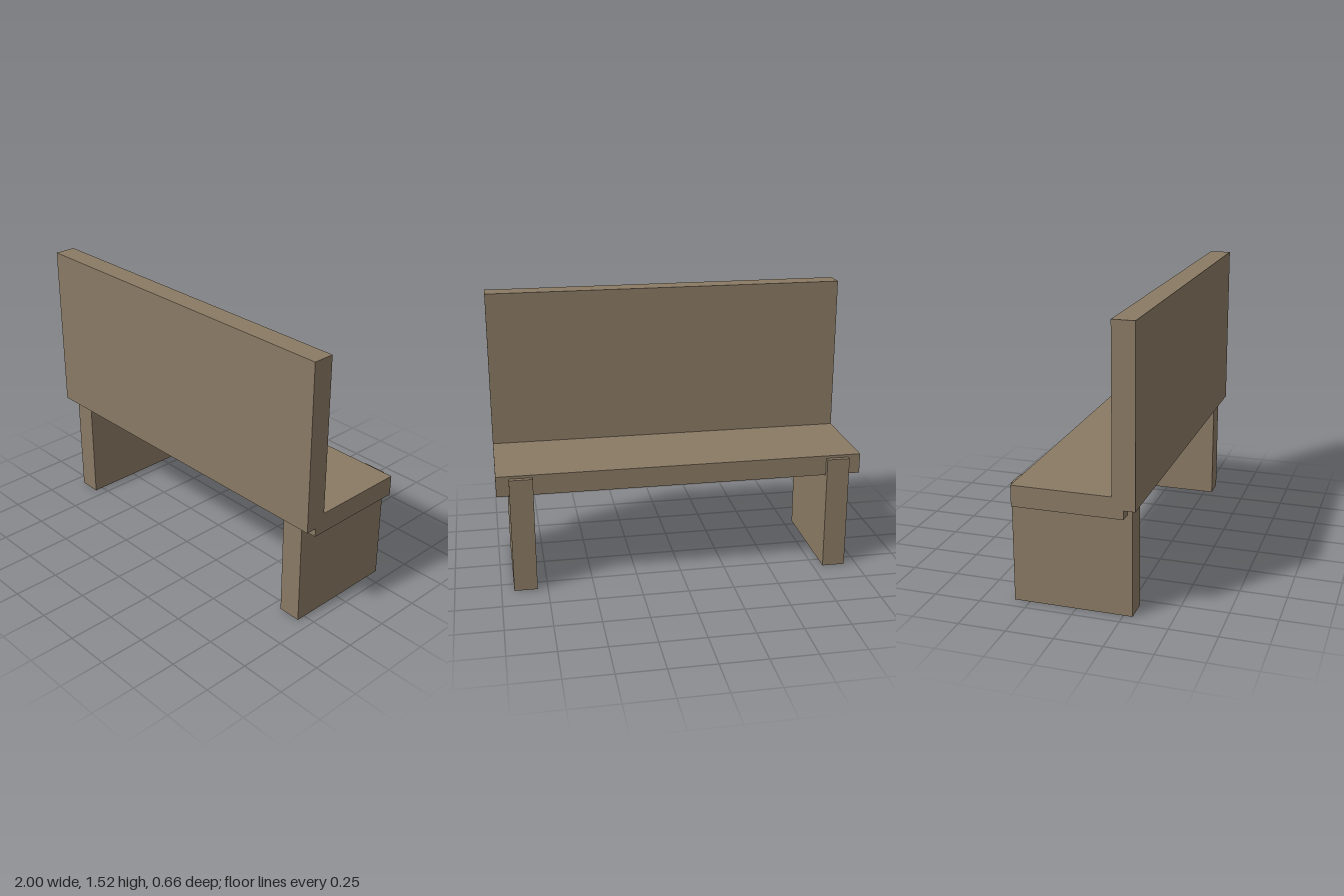
import * as THREE from 'three';

export function createModel() {
  const group = new THREE.Group();
  const wood = new THREE.MeshStandardMaterial({ color: 0x8a7a64 });
  wood.name = 'brown wood';

  // Box given by its extents on each axis
  function slab(name, [x0, x1], [y0, y1], [z0, z1]) {
    const mesh = new THREE.Mesh(new THREE.BoxGeometry(x1 - x0, y1 - y0, z1 - z0), wood);
    mesh.position.set((x0 + x1) / 2, (y0 + y1) / 2, (z0 + z1) / 2);
    mesh.name = name;
    group.add(mesh);
  }

  // Seat board, with the upright board overlapping its +z edge
  slab('seat', [-1, 1], [0.545, 0.657], [-0.307, 0.273]);
  slab('backrest', [-1, 1], [0.592, 1.52], [0.215, 0.332]);

  // Panel legs, rising into the seat and jutting out past its -z edge
  slab('leftLeg', [0.806, 0.932], [0, 0.642], [-0.332, 0.298]);
  slab('rightLeg', [-0.932, -0.806], [0, 0.642], [-0.332, 0.298]);

  return group;
}
